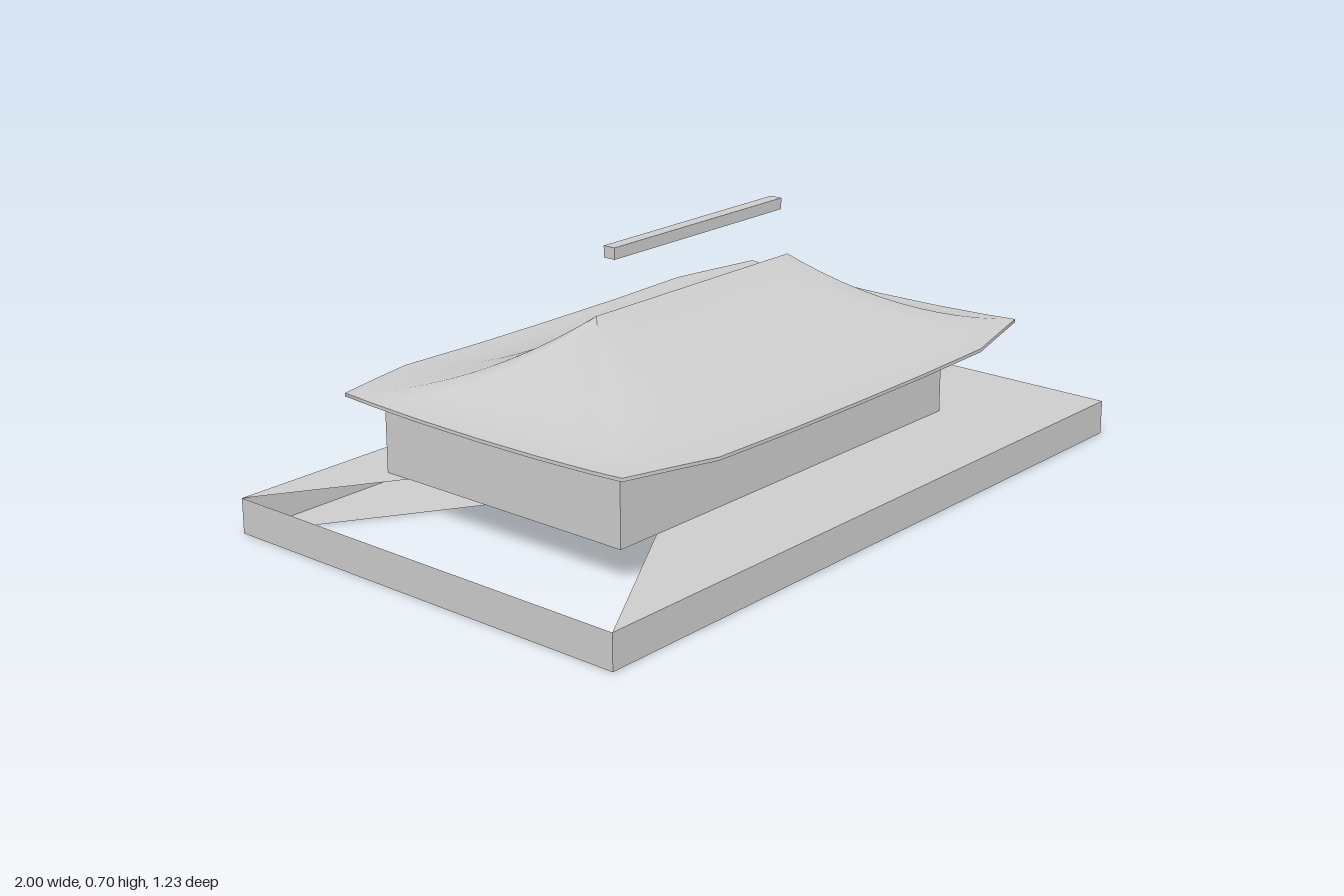
import * as THREE from 'three';

const stone = new THREE.MeshStandardMaterial({ color: 0xcccccc, side: THREE.DoubleSide });
stone.name = 'pale grey';

function add(parent, name, geometry, x = 0, y = 0, z = 0) {
  const mesh = new THREE.Mesh(geometry, stone);
  mesh.name = name;
  mesh.position.set(x, y, z);
  parent.add(mesh);
  return mesh;
}

// Hollow plinth: four walls, with a wedge left open in the top and bottom
function makePlinth(w, h, d) {
  const plinth = new THREE.Group();
  plinth.name = 'plinth';
  const outline = new THREE.Shape([
    [0, 0], [-w, -d], [w, -d], [w, d], [-w, d],
  ].map(([x, y]) => new THREE.Vector2(x, y)));
  add(plinth, 'plinthTop', new THREE.ShapeGeometry(outline).rotateX(-Math.PI / 2), 0, h);
  add(plinth, 'plinthBottom', new THREE.ShapeGeometry(outline).rotateX(Math.PI / 2));
  for (const s of [-1, 1]) {
    const long = add(plinth, 'plinthLongWall', new THREE.PlaneGeometry(2 * w, h), 0, h / 2, s * d);
    long.rotation.y = s > 0 ? 0 : Math.PI;
    const short = add(plinth, 'plinthEndWall', new THREE.PlaneGeometry(2 * d, h), s * w, h / 2, 0);
    short.rotation.y = s * Math.PI / 2;
  }
  return plinth;
}

// Thin hipped roof swept from the ridge down to a sagging eave
function makeRoof() {
  const ridgeX = 0.375, ridgeY = 0.535, eaveX = 0.79, steps = 12, thick = 0.009;
  // Eave of one quarter: x, y, z from the middle of the end to the middle of the front
  const quarter = [
    [0.79, 0.334, 0], [0.79, 0.336, 0.2], [0.79, 0.341, 0.36], [0.79, 0.346, 0.455],
    [0.66, 0.343, 0.4875], [0.53, 0.339, 0.52], [0.27, 0.334, 0.52], [0, 0.333, 0.52],
  ];
  const mirror = (list, sx, sz) => list.map(([x, y, z]) => [x * sx, y, z * sz]);
  const eave = [
    ...quarter,
    ...mirror(quarter, -1, 1).reverse().slice(1),
    ...mirror(quarter, -1, -1).slice(1),
    ...mirror(quarter, 1, -1).reverse().slice(1, -1),
  ];
  const rows = [];
  const row = (t, drop) => rows.push(eave.map(([x, y, z]) => {
    const topX = x * ridgeX / eaveX;
    return [
      THREE.MathUtils.lerp(topX, x, t),
      y + (ridgeY - y) * (1 - t) ** 2 - drop,
      z * t,
    ];
  }));
  for (let i = 0; i <= steps; i++) row(i / steps, 0);
  // Repeated rows keep the rim sharp
  row(1, 0);
  row(1, thick);
  for (let i = steps; i >= 0; i--) row(i / steps, thick);

  const n = eave.length, index = [];
  for (let r = 0; r < rows.length - 1; r++) {
    if (r === steps || r === steps + 2) continue;
    for (let k = 0; k < n; k++) {
      const a = r * n + k, b = r * n + (k + 1) % n, c = a + n, d = b + n;
      if (r > 0) index.push(a, b, c);
      else if (rows[0][k][0] !== rows[0][(k + 1) % n][0]) index.push(a, b, c);
      index.push(b, d, c);
    }
  }
  const geometry = new THREE.BufferGeometry();
  geometry.setAttribute('position', new THREE.Float32BufferAttribute(rows.flat(2), 3));
  geometry.setIndex(index);
  geometry.computeVertexNormals();
  return geometry;
}

export function createModel() {
  const model = new THREE.Group();
  model.name = 'pavilion';
  model.add(makePlinth(1, 0.093, 0.613));
  // Hall, set back on the plinth
  add(model, 'hall', new THREE.BoxGeometry(1.29, 0.23, 0.79), -0.003, 0.209, -0.075);
  add(model, 'roof', makeRoof());
  // Ridge beam floating over the roof
  add(model, 'ridgeBeam', new THREE.BoxGeometry(0.65, 0.03, 0.035), -0.002, 0.685, 0.001);
  return model;
}
